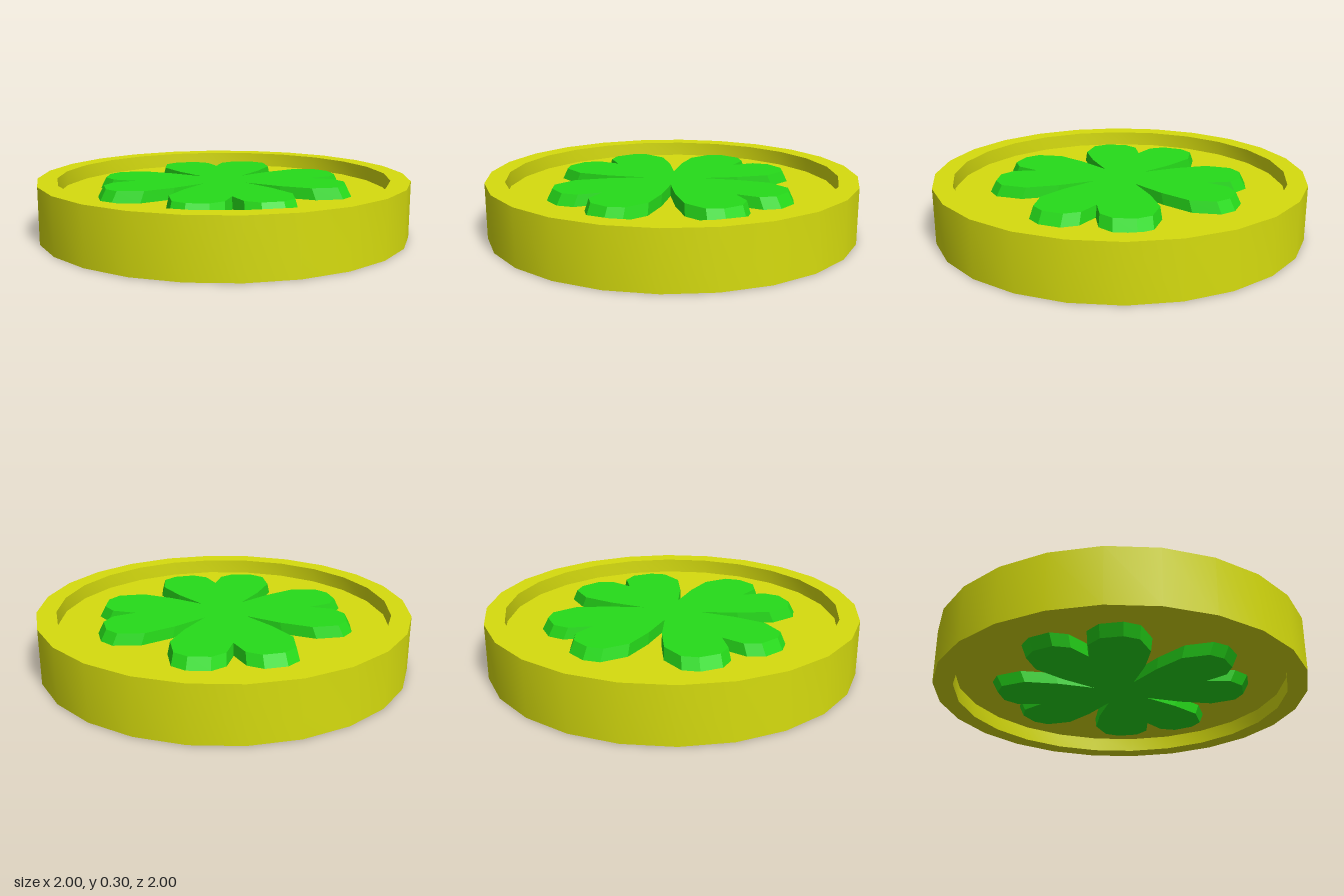
import * as THREE from 'three';
import { toCreasedNormals } from 'three/addons/utils/BufferGeometryUtils.js';

const HEIGHT = 0.3, RECESS = 0.08, RELIEF = 0.06, TAPER = 0.955;

// Outline of a four-leaf clover: half a leaf, mirrored on the diagonal, turned four times
function cloverShape() {
  const half = [[0, 0.165], [0.035, 0.37], [0.09, 0.545], [0.2, 0.64], [0.29, 0.635],
    [0.385, 0.565], [0.408, 0.475], [0.354, 0.354]];
  const leaf = [...half, ...half.slice(1, -1).reverse().map(([x, y]) => [y, x])];
  const points = [];
  for (let i = 0; i < 4; i++) {
    for (const [x, y] of leaf) {
      points.push(new THREE.Vector2(x, y).rotateAround(new THREE.Vector2(), -i * Math.PI / 2));
    }
  }
  return new THREE.Shape(points);
}

// Raised clover whose walls lean in toward the top
function cloverGeometry() {
  const geometry = new THREE.ExtrudeGeometry(cloverShape(), { depth: RELIEF, bevelEnabled: false });
  geometry.rotateX(-Math.PI / 2);
  const p = geometry.attributes.position;
  for (let i = 0; i < p.count; i++) {
    if (p.getY(i) > RELIEF / 2) p.setXYZ(i, p.getX(i) * TAPER, RELIEF, p.getZ(i) * TAPER);
  }
  geometry.computeVertexNormals();
  return geometry;
}

export function createModel() {
  const model = new THREE.Group();
  model.name = 'cloverCoin';
  const gold = new THREE.MeshStandardMaterial({ color: 0xd6dc0e });
  const green = new THREE.MeshStandardMaterial({ color: 0x26dc1a, flatShading: true });

  // Coin disc with a raised rim on both faces
  const profile = [[0, RECESS], [0.895, RECESS], [0.895, 0], [1, 0], [1, HEIGHT],
    [0.895, HEIGHT], [0.895, HEIGHT - RECESS], [0, HEIGHT - RECESS]]
    .map(([r, y]) => new THREE.Vector2(r, y));
  const coin = new THREE.Mesh(toCreasedNormals(new THREE.LatheGeometry(profile, 24), 0.6), gold);
  coin.name = 'coinBody';
  model.add(coin);

  // Clover relief on the top and bottom faces
  const geometry = cloverGeometry();
  const top = new THREE.Mesh(geometry, green);
  top.name = 'topClover';
  top.position.y = HEIGHT - RECESS;
  const bottom = new THREE.Mesh(geometry, green);
  bottom.name = 'bottomClover';
  bottom.rotation.x = Math.PI;
  bottom.position.y = RECESS;
  model.add(top, bottom);

  return model;
}
